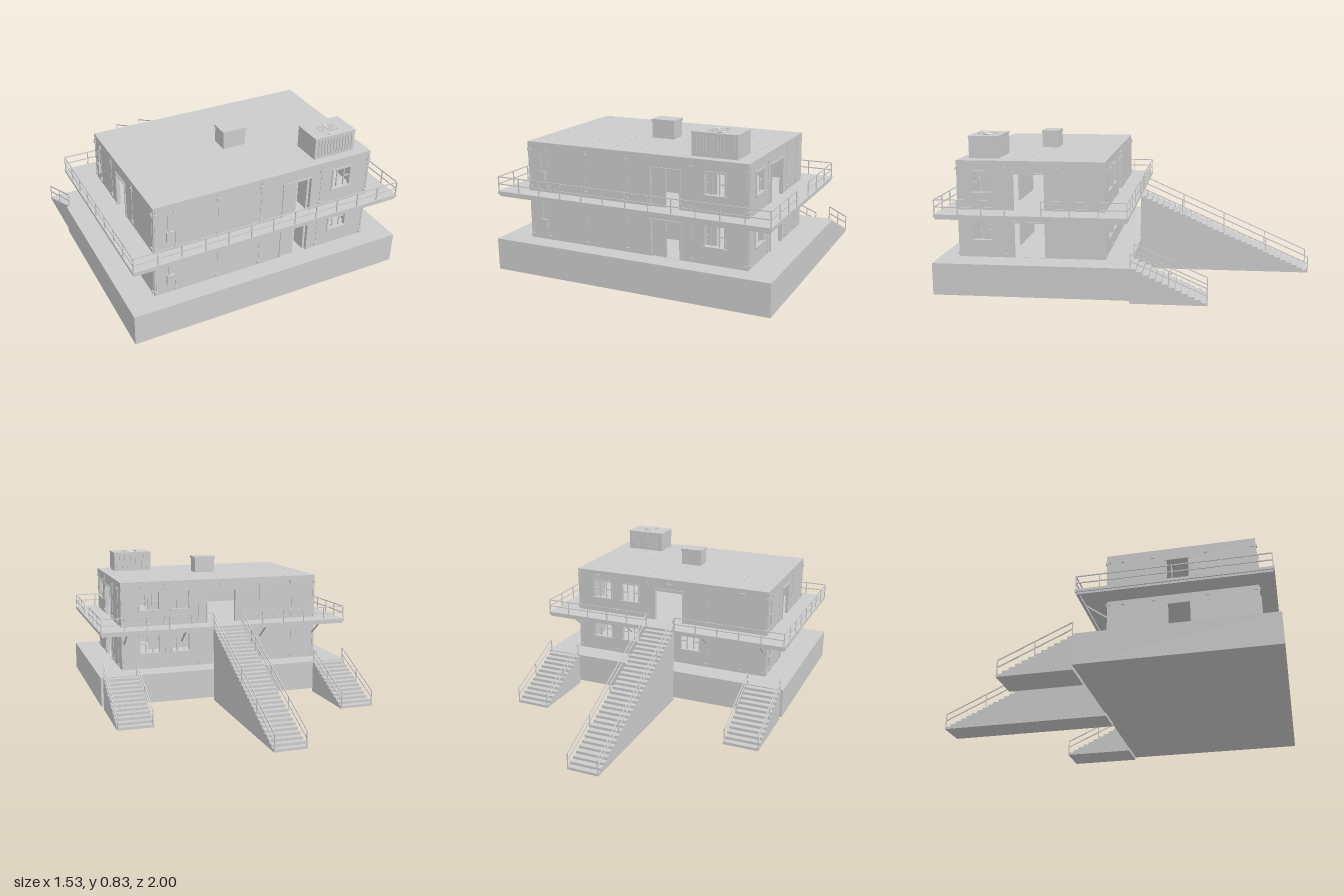
import * as THREE from 'three';

const mat = new THREE.MeshStandardMaterial({ color: 0xcccccc, flatShading: true, side: THREE.DoubleSide });

export function createModel() {
  const root = new THREE.Group();
  root.name = 'twoStoreyModularBuilding';

  const group = (name, parent = root) => {
    const g = new THREE.Group();
    g.name = name;
    parent.add(g);
    return g;
  };
  const add = (name, geo, parent) => {
    const m = new THREE.Mesh(geo, mat);
    m.name = name;
    parent.add(m);
    return m;
  };
  // box given by its min and max on each axis
  const box = (name, x0, x1, y0, y1, z0, z1, parent = root) => {
    const m = add(name, new THREE.BoxGeometry(x1 - x0, y1 - y0, z1 - z0), parent);
    m.position.set((x0 + x1) / 2, (y0 + y1) / 2, (z0 + z1) / 2);
    return m;
  };
  // thin square bar between two points
  const bar = (name, a, b, parent, t = 0.005) => {
    const p = new THREE.Vector3(...a), q = new THREE.Vector3(...b);
    const m = add(name, new THREE.BoxGeometry(t, t, p.distanceTo(q)), parent);
    m.position.copy(p).add(q).multiplyScalar(0.5);
    m.lookAt(q);
    return m;
  };
  // two rails and posts along a straight run; a and b lie on the walking surface
  const railing = (name, a, b, parent, h = 0.077, spacing = 0.13) => {
    const g = group(name, parent);
    const p = new THREE.Vector3(...a), q = new THREE.Vector3(...b);
    const lift = (v, y) => [v.x, v.y + y, v.z];
    for (const y of [h, h * 0.5]) bar('rail', lift(p, y), lift(q, y), g);
    const n = Math.max(1, Math.round(p.distanceTo(q) / spacing));
    for (let i = 0; i <= n; i++) {
      const v = p.clone().lerp(q, i / n);
      box('post', v.x - 0.0025, v.x + 0.0025, v.y, v.y + h, v.z - 0.0025, v.z + 0.0025, g);
    }
  };

  const X = 0.615, Z0 = 0.11, Z1 = 0.9, Y0 = 0.19, Y1 = 0.71, T = 0.015;
  const floors = [0.19, 0.447];

  // plinth, roof and gallery deck
  box('plinth', -0.765, 0.765, 0.02, Y0, -0.03, 1);
  box('roof', -X, X, Y1 - 0.015, Y1, Z0, Z1);
  box('galleryDeck', -0.757, 0.757, 0.432, 0.447, -0.025, 0.985);
  box('deckBeamFront', -0.75, 0.75, 0.42, 0.432, 0.965, 0.98);
  box('deckBeamBack', -0.75, 0.75, 0.42, 0.432, -0.02, -0.005);
  for (const s of [-1, 1]) {
    const x = s * 0.743;
    box('deckBeamSide', x - 0.007, x + 0.007, 0.42, 0.432, -0.005, 0.965);
  }

  // walls: openings are [start, end, bottom, top]
  const wall = (name, u0, u1, openings) => {
    const rect = (C, a, b, c, d) => {
      const s = new C();
      s.moveTo(a, c); s.lineTo(b, c); s.lineTo(b, d); s.lineTo(a, d); s.closePath();
      return s;
    };
    const s = rect(THREE.Shape, u0, u1, Y0, Y1 - 0.015);
    for (const o of openings) s.holes.push(rect(THREE.Path, ...o));
    return add(name, new THREE.ExtrudeGeometry(s, { depth: T, bevelEnabled: false }), root);
  };
  const win = (a, b, floor) => [a, b, floor ? 0.54 : 0.283, floor ? 0.65 : 0.39];
  const door = (a, b, floor) => [a, b, floor ? 0.447 : 0.191, floor ? 0.642 : 0.38];
  const each = (f) => [0, 1].flatMap(f);
  const frontOpen = each(f => [win(0.39, 0.495, f), door(0.1, 0.26, f)]);
  const backOpen = each(f => [win(0.385, 0.505, f), win(0.2, 0.31, f),
    f ? door(-0.09, 0.09, f) : win(-0.2, -0.08, f)]);
  const leftOpen = each(f => [win(0.715, 0.815, f), door(0.43, 0.6, f)]);
  const rightOpen = each(f => [door(0.43, 0.55, f)]);
  const flip = list => list.map(([a, b, c, d]) => [-b, -a, c, d]);
  wall('frontWall', -X, X, frontOpen).position.z = Z1 - T;
  wall('backWall', -X, X, backOpen).position.z = Z0;
  for (const [name, list, x] of [['leftWall', leftOpen, X - T], ['rightWall', rightOpen, -X]]) {
    const m = wall(name, -Z1 + T, -Z0 - T, flip(list));
    m.rotation.y = Math.PI / 2;
    m.position.x = x;
  }

  // raised frames and window bars, laid out on a face: u along the wall, n outward
  const face = (name, axis, at, out) => {
    const g = group(name);
    return (part, u0, u1, y0, y1, n0, n1) => {
      const a = at + out * n0, b = at + out * n1, lo = Math.min(a, b), hi = Math.max(a, b);
      return axis === 'z' ? box(part, u0, u1, y0, y1, lo, hi, g) : box(part, lo, hi, y0, y1, u0, u1, g);
    };
  };
  const trim = (put, openings, ledge) => {
    for (const [a, b, c, d] of openings) {
      const isWindow = d - c < 0.15, f = 0.006;
      put('frameSide', a - f, a + 0.002, c, d, -T, 0.005);
      put('frameSide', b - 0.002, b + f, c, d, -T, 0.005);
      put('frameTop', a - f, b + f, d - 0.002, d + f, -T, 0.006);
      if (!isWindow) continue;
      put('sill', a - 0.01, b + 0.01, c - 0.008, c + 0.002, -T, ledge);
      const m = (a + b) / 2, h = (c + d) / 2;
      put('mullion', m + 0.018, m + 0.024, c, d, -0.01, -0.004);
      put('mullion', m - 0.024, m - 0.018, c, d, -0.01, -0.004);
      put('transom', a, m - 0.02, h - 0.003, h + 0.003, -0.01, -0.004);
      put('transom', m + 0.02, b, h - 0.003, h + 0.003, -0.01, -0.004);
    }
  };
  // panel joints with clamps at top and bottom of each storey
  const joints = (put, list) => {
    for (const u of list) {
      put('joint', u - 0.002, u + 0.002, Y0, Y1 - 0.015, 0, 0.002);
      for (const y of [0.2, 0.405, 0.465, 0.66])
        put('clamp', u - 0.009, u + 0.009, y, y + 0.014, 0, 0.007);
    }
  };
  const front = face('frontTrim', 'z', Z1, 1), back = face('backTrim', 'z', Z0, -1);
  const left = face('leftTrim', 'x', X, 1), right = face('rightTrim', 'x', -X, -1);
  trim(front, frontOpen, 0.012);
  trim(back, backOpen, 0.01);
  trim(left, leftOpen, 0.012);
  trim(right, rightOpen, 0.01);
  joints(front, [-0.605, -0.5, -0.27, -0.03, 0.32, 0.605]);
  joints(back, [-0.605, -0.46, -0.25, 0.14, 0.35, 0.605]);
  joints(left, [0.2, 0.36, 0.64, 0.885]);
  joints(right, [0.125, 0.2, 0.36, 0.64, 0.885]);

  // service boxes with conduit
  for (const y of [0.245, 0.505]) {
    front('serviceBox', -0.55, -0.51, y, y + 0.055, 0, 0.012);
    front('conduit', -0.54, -0.535, y + 0.055, y + 0.14, 0, 0.006);
    right('serviceBox', 0.16, 0.19, y, y + 0.055, 0, 0.012);
    right('conduit', 0.173, 0.178, y + 0.055, y + 0.14, 0, 0.006);
  }
  // lamps over the back
  for (const x of [-0.46, 0, 0.48]) back('lamp', x - 0.015, x + 0.015, 0.67, 0.685, 0, 0.012);

  // interior partitions, ajar front doors and inner stair
  for (const y of floors) {
    box('partition', 0.02, 0.34, y, y + 0.235, 0.63, 0.64);
    box('doorLeaf', 0.1, 0.18, y, y + 0.19, Z1 - T, Z1 - 0.007);
    const leaf = box('doorLeafOpen', 0, 0.08, y, y + 0.19, -0.004, 0.004);
    leaf.position.x = 0.25;
    leaf.position.z = Z1 - 0.055;
    leaf.rotation.y = Math.PI / 2;
  }

  // solid stepped flight climbing from z = zLow to z = zHigh
  const stairs = (name, x0, x1, zLow, zHigh, yBase, yTop, n) => {
    const s = new THREE.Shape();
    const run = (zHigh - zLow) / n, rise = (yTop - yBase) / (n + 1);
    s.moveTo(-zLow, yBase);
    for (let i = 0; i < n; i++) {
      s.lineTo(-(zLow + i * run), yBase + (i + 1) * rise);
      s.lineTo(-(zLow + (i + 1) * run), yBase + (i + 1) * rise);
    }
    s.lineTo(-zHigh, yBase);
    s.closePath();
    const m = add(name, new THREE.ExtrudeGeometry(s, { depth: x1 - x0, bevelEnabled: false }), root);
    m.rotation.y = Math.PI / 2;
    m.position.x = x0;
  };
  stairs('innerStairs', -0.42, -0.27, 0.29, 0.6, Y0, 0.43, 11);
  stairs('galleryStairs', -0.09, 0.09, -1, -0.024, 0, 0.447, 30);
  for (const s of [-0.65, 0.65]) stairs('sideStairs', s - 0.1, s + 0.1, -0.43, -0.029, 0, 0.2, 12);

  // stair railings
  for (const s of [-1, 1]) {
    railing('galleryStairRailing', [s * 0.086, 0.447, -0.025], [s * 0.086, 0.015, -0.997], root, 0.077, 0.27);
    for (const x of [0.555, 0.746])
      railing('sideStairRailing', [s * x, 0.187, -0.035], [s * x, 0.015, -0.427], root, 0.077, 0.21);
  }

  // gallery railings, open at the stair head and at the left door
  const y = 0.447, rx = 0.752, zf = 0.98, zb = -0.02;
  railing('frontRailing', [-rx, y, zf], [rx, y, zf], root);
  railing('rightRailing', [-rx, y, zb], [-rx, y, zf], root);
  railing('leftRailing', [rx, y, 0.61], [rx, y, zf], root);
  railing('leftRailing', [rx, y, zb], [rx, y, 0.42], root);
  for (const s of [-1, 1]) railing('backRailing', [s * 0.09, y, zb], [s * rx, y, zb], root);

  // braces under the rear gallery
  for (const x of [-0.6, -0.25, 0.25, 0.6]) bar('galleryBrace', [x, 0.345, Z0], [x, 0.43, -0.005], root, 0.008);

  // rows of roof rivets
  const rivets = group('roofRivets');
  for (let i = 0; i < 9; i++) for (let j = 0; j < 12; j++) {
    const x = -0.56 + i * 0.14, z = 0.14 + j * 0.066;
    box('rivet', x - 0.004, x + 0.004, Y1, Y1 + 0.0015, z - 0.002, z + 0.002, rivets);
  }

  // roof units
  const vent = group('roofVent');
  box('ventBody', -0.066, 0.062, Y1, 0.795, 0.463, 0.557, vent);
  box('ventCap', -0.07, 0.066, 0.795, 0.81, 0.46, 0.56, vent);
  const cooler = group('coolingUnit');
  box('coolerBody', 0.3, 0.538, Y1, 0.828, 0.693, 0.852, cooler);
  box('coolerLid', 0.298, 0.54, 0.822, 0.83, 0.69, 0.855, cooler);
  for (let i = 0; i < 12; i++) {
    const x = 0.32 + i * 0.018;
    for (const z of [0.691, 0.854]) box('grilleSlat', x, x + 0.006, 0.725, 0.812, z - 0.002, z + 0.002, cooler);
  }
  for (const r of [0.05, 0.025]) {
    const ring = add('fanRing', new THREE.TorusGeometry(r, 0.003, 6, 24), cooler);
    ring.rotation.x = Math.PI / 2;
    ring.position.set(0.415, 0.831, 0.78);
  }
  for (let i = 0; i < 4; i++) {
    const blade = box('fanBlade', -0.048, 0.048, 0, 0.003, -0.003, 0.003, cooler);
    blade.position.set(0.415, 0.831, 0.78);
    blade.rotation.y = i * Math.PI / 4;
  }
  return root;
}
